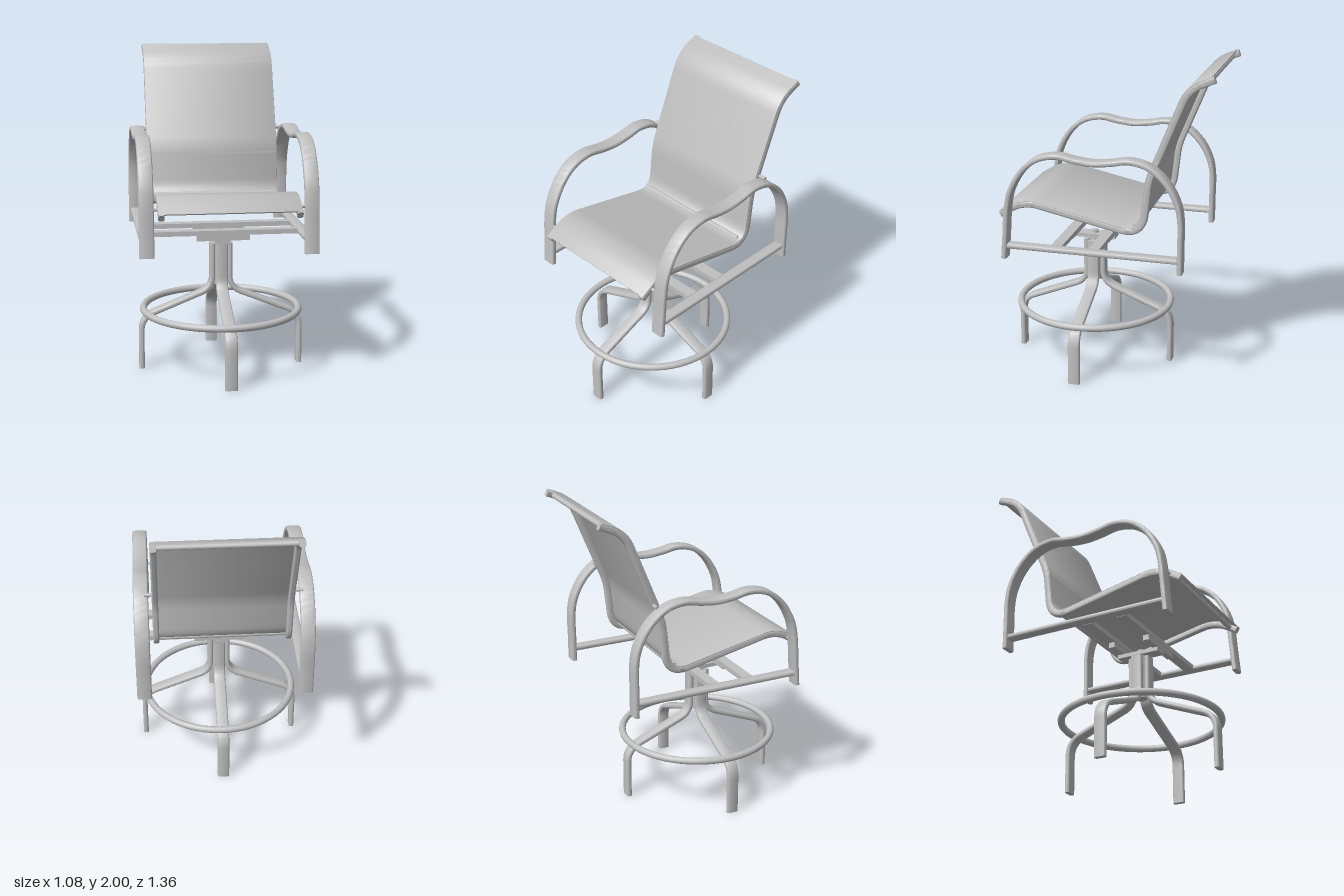
import * as THREE from 'three';
import { toCreasedNormals } from 'three/addons/utils/BufferGeometryUtils.js';

const BASE_Z = 0.163;

// Polyline in the (z, y) plane with softened corners; each point is [z, y, cornerRadius]
function roundedPath(pts) {
  const path = new THREE.Path();
  const v = pts.map(p => new THREE.Vector2(p[0], p[1]));
  path.moveTo(v[0].x, v[0].y);
  for (let i = 1; i < v.length - 1; i++) {
    const r = pts[i][2];
    const a = v[i - 1].clone().sub(v[i]).setLength(r).add(v[i]);
    const b = v[i + 1].clone().sub(v[i]).setLength(r).add(v[i]);
    path.lineTo(a.x, a.y);
    path.quadraticCurveTo(v[i].x, v[i].y, b.x, b.y);
  }
  path.lineTo(v.at(-1).x, v.at(-1).y);
  return path.getPoints(14);
}

// Rounded rectangle cross-section, counter-clockwise
function section(w, h, r) {
  const out = [];
  [[1, 1], [-1, 1], [-1, -1], [1, -1]].forEach(([sx, sy], q) => {
    for (let k = 0; k <= 4; k++) {
      const a = (q + k / 4) * Math.PI / 2;
      out.push([sx * (w / 2 - r) + r * Math.cos(a), sy * (h / 2 - r) + r * Math.sin(a)]);
    }
  });
  return out;
}

// Sweep a rounded rectangle along a (z, y) path; w runs along x, lift offsets along the normal
function sweep(path, w, h, r, lift = 0) {
  const sec = section(w, h, r), m = sec.length, n = path.length;
  const pos = [], idx = [];
  path.forEach((p, i) => {
    const t = path[Math.min(i + 1, n - 1)].clone().sub(path[Math.max(i - 1, 0)]).normalize();
    for (const [u, v] of sec) pos.push(u, p.y + t.x * (v + lift), p.x - t.y * (v + lift));
  });
  for (let i = 0; i < n - 1; i++) {
    for (let j = 0; j < m; j++) {
      const k = (j + 1) % m, a = i * m, b = a + m;
      idx.push(a + j, a + k, b + k, a + j, b + k, b + j);
    }
  }
  const end = (n - 1) * m;
  for (let j = 1; j < m - 1; j++) idx.push(0, j + 1, j, end, end + j, end + j + 1);
  const g = new THREE.BufferGeometry();
  g.setAttribute('position', new THREE.Float32BufferAttribute(pos, 3));
  g.setIndex(idx);
  return toCreasedNormals(g, 0.7);
}

export function createModel() {
  const model = new THREE.Group();
  const grey = new THREE.MeshStandardMaterial({ color: 0xc0c0c0 });
  grey.name = 'light grey';

  function add(name, geometry, x = 0, y = 0, z = 0) {
    const mesh = new THREE.Mesh(geometry, grey);
    mesh.name = name;
    mesh.position.set(x, y, z);
    model.add(mesh);
    return mesh;
  }
  const box = (name, w, h, d, x, y, z) => add(name, new THREE.BoxGeometry(w, h, d), x, y, z);
  function crossRod(name, r, length, x, y, z) {
    add(name, new THREE.CylinderGeometry(r, r, length, 16), x, y, z).rotation.z = Math.PI / 2;
  }

  // Four bent legs around a central post
  const leg = sweep(roundedPath([
    [0.505, 0], [0.505, 0.33, 0.09], [0.055, 0.51, 0.08], [0.055, 0.8],
  ]), 0.076, 0.033, 0.013);
  for (let i = 0; i < 4; i++) add('leg', leg, 0, 0, BASE_Z).rotation.y = i * Math.PI / 2;
  add('centrePost', new THREE.CylinderGeometry(0.038, 0.038, 0.29, 24), 0, 0.675, BASE_Z);

  // Foot ring
  const ring = add('footRing', new THREE.TorusGeometry(0.491, 0.022, 14, 72), 0, 0.38, BASE_Z);
  ring.rotation.x = Math.PI / 2;

  // Swivel mount
  box('swivelBar', 0.085, 0.025, 0.28, 0, 0.828, BASE_Z);
  add('swivelPin', new THREE.CylinderGeometry(0.02, 0.02, 0.04, 16), 0, 0.84, BASE_Z);
  for (const z of [0.285, 0.045]) box('swivelBlock', 0.33, 0.036, 0.04, 0, 0.858, z);

  // Crossbars carrying the seat frame
  for (const z of [0.275, 0.038]) box('crossbar', 0.93, 0.03, 0.068, 0, 0.89, z);

  // Wavy arms with bottom rails and the pins that hold the seat
  const armPath = new THREE.SplineCurve([
    [0.6, 0.812], [0.587, 0.97], [0.574, 1.13], [0.547, 1.25], [0.475, 1.375], [0.375, 1.457],
    [0.255, 1.484], [0.14, 1.466], [0.03, 1.456], [-0.08, 1.466], [-0.19, 1.484],
    [-0.31, 1.457], [-0.415, 1.37], [-0.483, 1.25], [-0.506, 1.13], [-0.506, 0.97], [-0.506, 0.812],
  ].map(p => new THREE.Vector2(...p))).getPoints(112);
  const arm = sweep(armPath, 0.09, 0.032, 0.012);
  const rail = sweep([new THREE.Vector2(-0.495, 0.89), new THREE.Vector2(0.585, 0.89)], 0.07, 0.031, 0.012);

  // Seat frame runs from the top of the back to the front lip
  const framePath = roundedPath([
    [-0.672, 1.978], [-0.52, 1.915, 0.09], [-0.288, 1.345, 0.06],
    [-0.25, 0.995, 0.14], [0.5, 1.153, 0.1], [0.652, 1.06],
  ]);
  const tube = sweep(framePath, 0.038, 0.044, 0.012);

  for (const s of [1, -1]) {
    add('arm', arm, s * 0.495);
    add('armRail', rail, s * 0.495);
    add('seatTube', tube, s * 0.411);
    crossRod('seatPin', 0.011, 0.06, s * 0.445, 1.46, -0.345);
    crossRod('seatPin', 0.011, 0.06, s * 0.445, 1.1, 0.58);
  }

  // Fabric sling stretched over the tubes, a little shorter than them
  const slingPath = framePath.map(p => p.clone());
  slingPath[0].lerp(slingPath[1], 0.12);
  slingPath.at(-1).lerp(slingPath.at(-2), 0.1);
  add('sling', sweep(slingPath, 0.856, 0.008, 0.003, 0.02));

  // Spreaders between the tubes
  crossRod('topSpreader', 0.016, 0.8, 0, 1.957, -0.63);
  crossRod('rearSpreader', 0.016, 0.8, 0, 1.045, -0.2);
  crossRod('frontSpreader', 0.016, 0.8, 0, 1.085, 0.605);

  return model;
}
